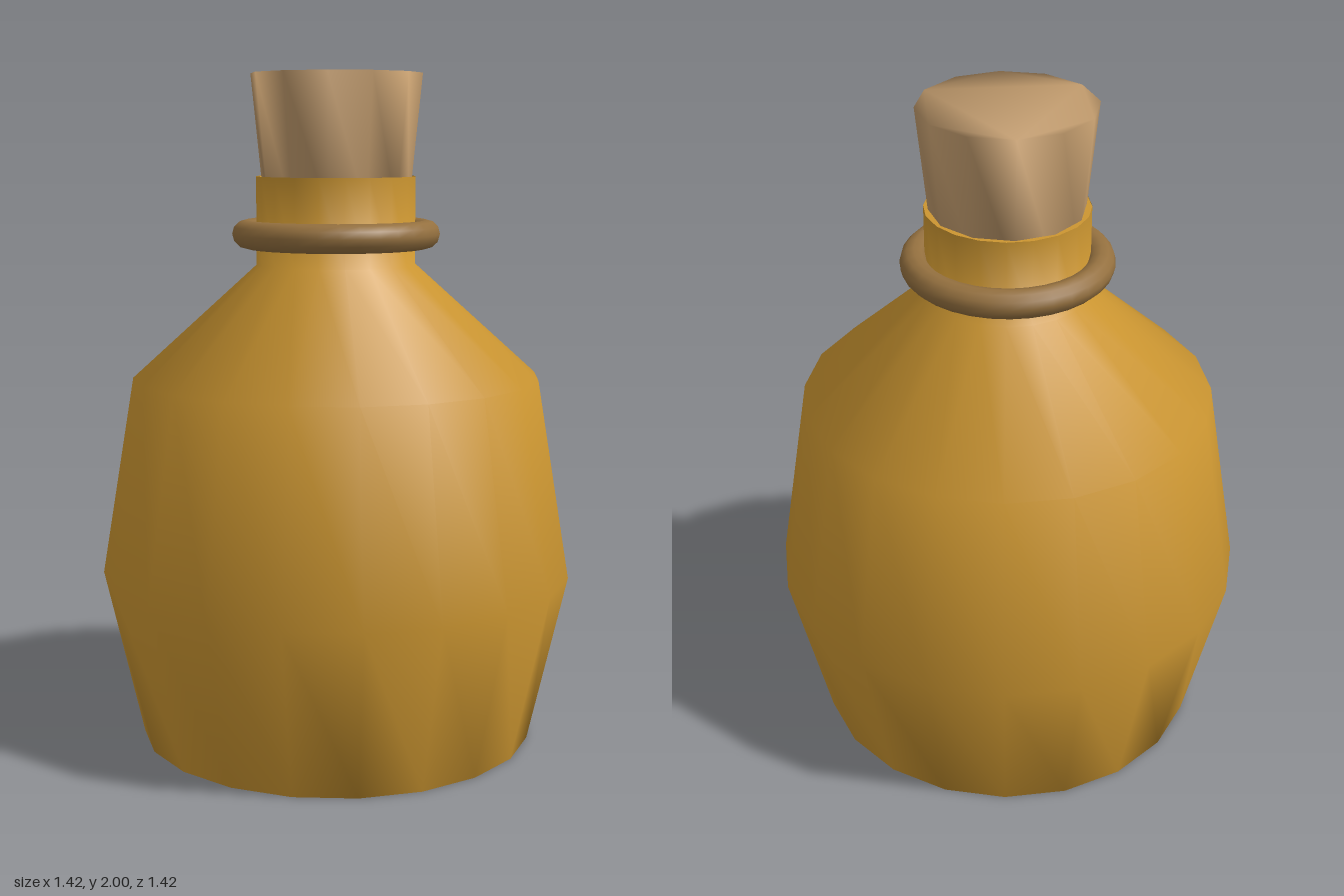
import * as THREE from 'three';
import { mergeGeometries, mergeVertices } from 'three/addons/utils/BufferGeometryUtils.js';

const glass = new THREE.MeshStandardMaterial({ name: 'amber glass', color: 0xcc9631, side: THREE.DoubleSide });
const corkTan = new THREE.MeshStandardMaterial({ name: 'cork tan', color: 0xc09a6c });
const cordBrown = new THREE.MeshStandardMaterial({ name: 'cord brown', color: 0x94703f });

// flat polygon without a centre point, facing up or down
function disc(radius, sides, y, up) {
  const points = [];
  for (let i = 0; i < sides; i++) {
    const a = (i / sides) * Math.PI * 2;
    points.push(new THREE.Vector2(Math.cos(a) * radius, Math.sin(a) * radius));
  }
  return new THREE.ShapeGeometry(new THREE.Shape(points))
    .rotateX(up ? -Math.PI / 2 : Math.PI / 2).translate(0, y, 0);
}

// turned side wall
function wall(profile, sides) {
  return new THREE.LatheGeometry(profile.map(([r, y]) => new THREE.Vector2(r, y)), sides);
}

// weld parts so that normals run smoothly over the edges
function weld(parts) {
  const merged = mergeGeometries(parts);
  merged.deleteAttribute('normal');
  merged.deleteAttribute('uv');
  const welded = mergeVertices(merged, 1e-4);
  welded.computeVertexNormals();
  return welded;
}

export function createModel() {
  const group = new THREE.Group();
  group.name = 'corkedBottle';
  const add = (name, geometry, material) => {
    const mesh = new THREE.Mesh(geometry, material);
    mesh.name = name;
    group.add(mesh);
  };

  // belly, shoulder and neck with a flat base
  const bottle = [[0.595, 0], [0.71, 0.51], [0.61, 1.105], [0.238, 1.44], [0.238, 1.7]];
  add('bottle', weld([wall(bottle, 20), disc(0.595, 20, 0, false)]), glass);

  // mouth of the neck around the stopper
  add('mouth', disc(0.238, 20, 1.698, true), glass);

  // tapered stopper, set a little into the neck
  const stopper = [[0.215, 1.6], [0.255, 2]];
  add('cork', weld([wall(stopper, 12), disc(0.255, 12, 2, true), disc(0.215, 12, 1.6, false)]), corkTan);

  // cord ring around the neck
  add('neckRing', new THREE.TorusGeometry(0.268, 0.042, 12, 32).rotateX(Math.PI / 2).translate(0, 1.53, 0), cordBrown);

  return group;
}
